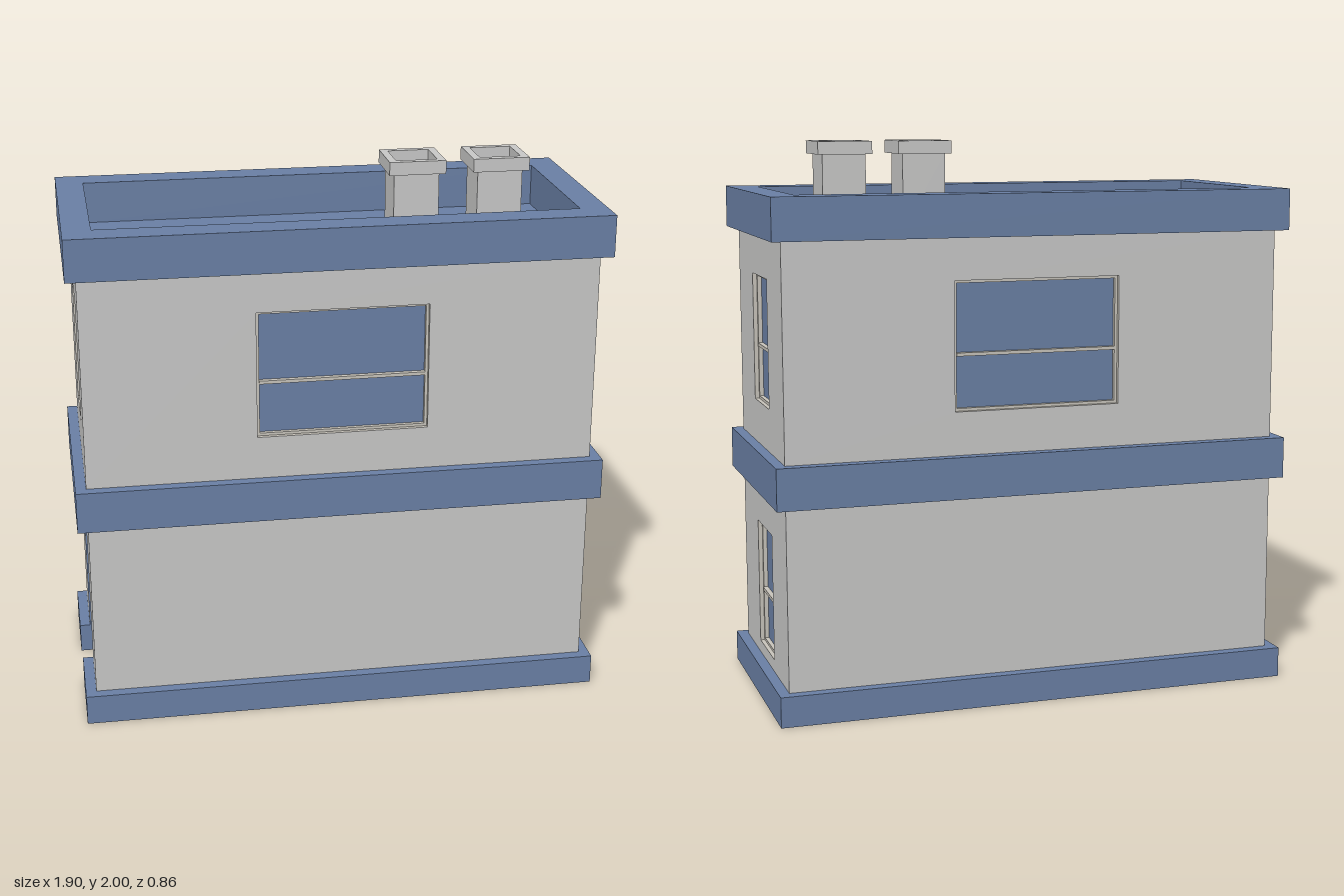
import * as THREE from 'three';

const WX = 0.912, WZ = 0.39;            // wall half sizes
const BX = 0.95, BZ = 0.43;             // band half sizes
const DOOR_W = 0.13, DOOR_H = 0.61, RECESS = 0.03;

const mat = (name, color) => {
  const m = new THREE.MeshStandardMaterial({ color, side: THREE.DoubleSide, flatShading: true });
  m.name = name;
  return m;
};

// Flat quads, each given by four corners
function quads(list) {
  const pos = [];
  for (const [a, b, c, d] of list) pos.push(...a, ...b, ...c, ...a, ...c, ...d);
  const g = new THREE.BufferGeometry();
  g.setAttribute('position', new THREE.Float32BufferAttribute(pos, 3));
  g.computeVertexNormals();
  return g;
}

// Rectangular sections [halfX, halfZ, y] joined by four-sided rings
function loft(sections, skipSide = -1) {
  const ring = ([x, z, y]) => [[x, y, z], [x, y, -z], [-x, y, -z], [-x, y, z]];
  const list = [];
  for (let i = 0; i + 1 < sections.length; i++) {
    const lo = ring(sections[i]), hi = ring(sections[i + 1]);
    for (let k = 0; k < 4; k++) {
      if (k === skipSide) continue;
      const n = (k + 1) % 4;
      list.push([lo[k], lo[n], hi[n], hi[k]]);
    }
  }
  return quads(list);
}

const rectPoints = (w, y0, y1) =>
  [[-w, y0], [w, y0], [w, y1], [-w, y1]].map(([x, y]) => new THREE.Vector2(x, y));

export function createModel() {
  const wallMat = mat('wall grey', 0xc9c9c8);
  const blue = mat('slate blue', 0x6a80a5);
  const red = mat('door red', 0xb9515d);
  const frameMat = mat('window frame stone', 0xc9c5bc);
  const model = new THREE.Group();
  model.name = 'house';

  const add = (parent, name, geometry, material, x = 0, y = 0, z = 0) => {
    const m = new THREE.Mesh(geometry, material);
    m.name = name;
    m.position.set(x, y, z);
    parent.add(m);
    return m;
  };

  // Recessed sash window, facing local +z
  function addWindow(parent, hw, y0, y1) {
    const g = new THREE.Group();
    g.name = 'window';
    const hh = (y1 - y0) / 2, t = 0.01;
    g.position.y = (y0 + y1) / 2;
    const frame = loft([
      [hw, hh, 0], [hw, hh, -RECESS / 2],
      [hw - t, hh - t, -RECESS / 2], [hw - t, hh - t, -RECESS],
    ]).rotateX(Math.PI / 2);
    add(g, 'windowFrame', frame, frameMat);
    add(g, 'windowGlass', new THREE.PlaneGeometry(2 * (hw - t), 2 * (hh - t)), blue, 0, 0, -RECESS);
    add(g, 'windowBar', new THREE.BoxGeometry(2 * (hw - t), 0.012, 0.018), frameMat, 0, -0.03, -RECESS + 0.009);
    parent.add(g);
  }

  // Door with blue surround, fanlight and the broken plinth beside it
  function addDoor(parent) {
    const w = DOOR_W, h = DOOR_H, d = -RECESS, o = BX - WX, p = 0.11;
    add(parent, 'door', new THREE.PlaneGeometry(2 * w, h), red, 0, h / 2, d);
    const surround = [[[-w, h, 0], [-w, h, d], [w, h, d], [w, h, 0]]];
    const plinth = [];
    for (const s of [-1, 1]) {
      const side = [[s * w, 0, 0], [s * w, 0, d], [s * w, h, d], [s * w, h, 0]];
      const face = [[s * w, 0, o], [s * BZ, 0, o], [s * BZ, p, o], [s * w, p, o]];
      const ledge = [[s * w, p, o], [s * BZ, p, o], [s * WZ, p, 0], [s * w, p, 0]];
      const cap = [[s * w, 0, o], [s * w, 0, 0], [s * w, p, 0], [s * w, p, o]];
      if (s > 0) surround.push(side); else surround.push(side.reverse());
      for (const q of [face, ledge, cap]) plinth.push(s > 0 ? q : q.reverse());
    }
    add(parent, 'doorSurround', quads(surround), blue);
    add(parent, 'doorSidePlinth', quads(plinth), blue);
    // Fanlight in three panes
    for (let i = 0; i < 3; i++) {
      const pane = new THREE.CircleGeometry(0.078, 5, i * Math.PI / 3 + 0.06, Math.PI / 3 - 0.12);
      add(parent, 'fanlightPane', pane, blue, 0, 0.475, d + 0.003);
    }
  }

  // One wall panel; the hole is a window [halfWidth, y0, y1] or 'door'
  function addWall(parent, hw, y0, y1, hole) {
    let outline = rectPoints(hw, y0, y1);
    if (hole === 'door') {
      const [a, b, c, e] = outline;
      const v = (x, y) => new THREE.Vector2(x, y);
      outline = [a, v(-DOOR_W, y0), v(-DOOR_W, DOOR_H), v(DOOR_W, DOOR_H), v(DOOR_W, y0), b, c, e];
    }
    const shape = new THREE.Shape(outline);
    if (Array.isArray(hole)) {
      shape.holes.push(new THREE.Path(rectPoints(...hole)));
      addWindow(parent, ...hole);
    }
    if (hole === 'door') addDoor(parent);
    add(parent, 'wall', new THREE.ShapeGeometry(shape), wallMat);
  }

  // Four sides, two storeys each
  const wide = [0.305, 1.07, 1.53], narrow = [0.13, 1.07, 1.53], low = [0.13, 0.155, 0.615];
  const sides = [
    ['frontSide', 0, WX, WZ, null, wide],
    ['leftSide', 1, WZ, WX, low, narrow],
    ['backSide', 2, WX, WZ, null, wide],
    ['rightSide', 3, WZ, WX, 'door', narrow],
  ];
  for (const [name, turn, hw, dist, lower, upper] of sides) {
    const g = new THREE.Group();
    g.name = name;
    g.rotation.y = turn * Math.PI / 2;
    g.position.set(Math.sin(g.rotation.y) * dist, 0, Math.cos(g.rotation.y) * dist);
    addWall(g, hw, 0.11, 0.765, lower);
    addWall(g, hw, 0.915, 1.68, upper);
    model.add(g);
  }

  // Plinth, floor band, and parapet with sunken roof
  add(model, 'plinth', loft([[BX, BZ, 0], [BX, BZ, 0.11], [WX, WZ, 0.11]], 2), blue);
  add(model, 'floorBand', loft([[WX, WZ, 0.765], [BX, BZ, 0.765], [BX, BZ, 0.915], [WX, WZ, 0.915]]), blue);
  const roofY = 1.68, rx = 0.85, rz = 0.32;
  add(model, 'parapet', loft([[WX, WZ, 1.68], [BX, BZ, 1.68], [BX, BZ, 1.83], [rx, rz, 1.83], [rx, rz, roofY]]), blue);
  add(model, 'roof', new THREE.PlaneGeometry(2 * rx, 2 * rz).rotateX(-Math.PI / 2), blue, 0, roofY, 0);

  // Hollow chimneys
  const chimney = loft([
    [0.08, 0.08, roofY], [0.08, 0.08, 1.953], [0.1, 0.1, 1.953],
    [0.1, 0.1, 2], [0.073, 0.073, 2], [0.073, 0.073, roofY],
  ]);
  for (const x of [0.286, 0.584]) add(model, 'chimney', chimney, wallMat, x, 0, 0.14);

  return model;
}
